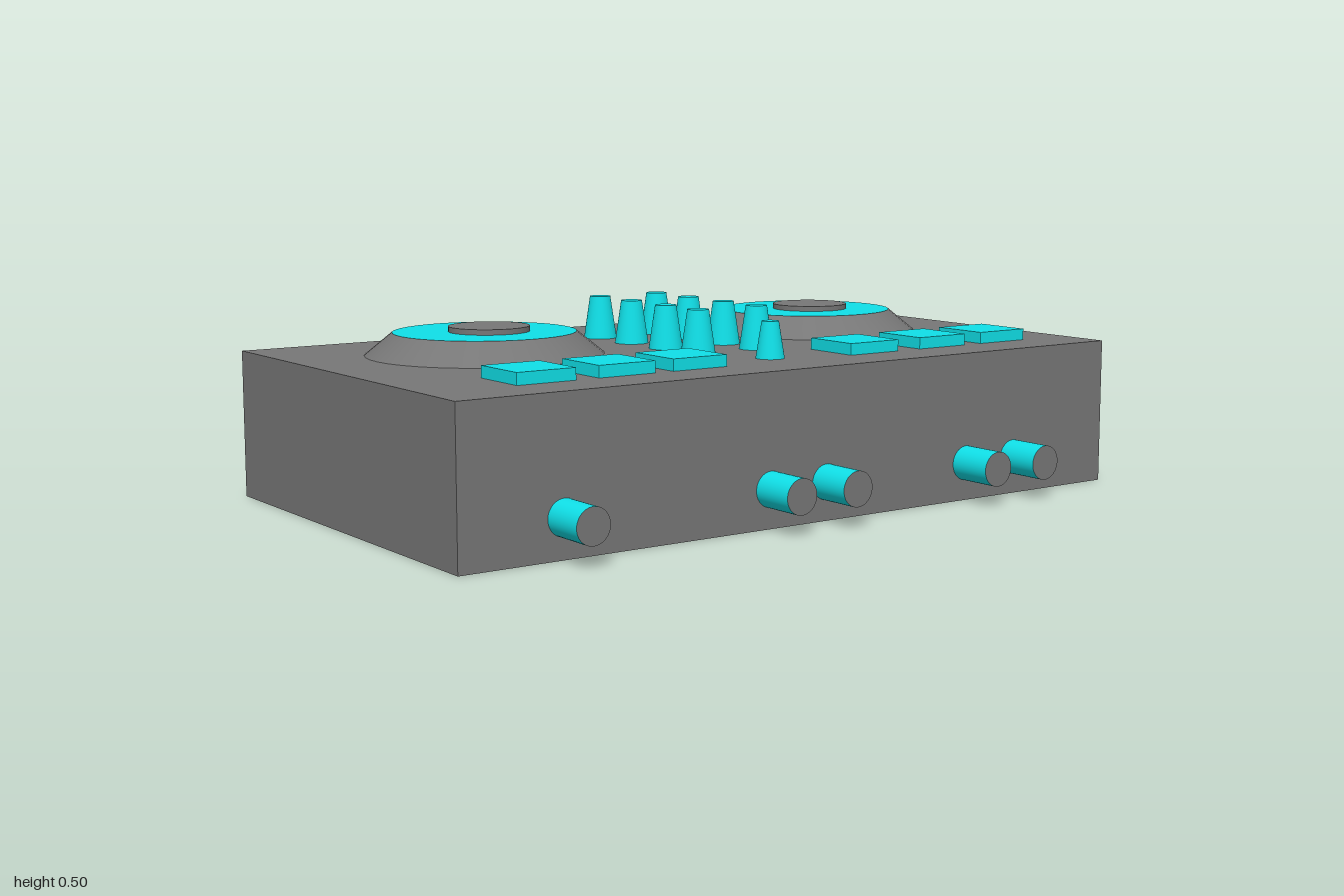
import * as THREE from 'three';

const DECK_Y = 0.385;

export function createModel() {
  const model = new THREE.Group();
  model.name = 'mixingConsole';
  const grey = new THREE.MeshStandardMaterial({ color: 0x777777 });
  const cyan = new THREE.MeshStandardMaterial({ color: 0x10e0e8 });

  const add = (name, geometry, material, x, y, z) => {
    const mesh = new THREE.Mesh(geometry, material);
    mesh.name = name;
    mesh.position.set(x, y, z);
    model.add(mesh);
    return mesh;
  };
  // Round part standing on height y; material may be [side, top, bottom]
  const round = (name, rTop, rBottom, height, material, x, y, z) =>
    add(name, new THREE.CylinderGeometry(rTop, rBottom, height, 40), material, x, y + height / 2, z);

  // Main housing
  add('body', new THREE.BoxGeometry(1.14, DECK_Y, 2), grey, -0.06, DECK_Y / 2, 0);

  // Jog wheels: sloping grey rim with a coloured face and a raised hub
  for (const z of [-0.545, 0.513]) {
    round('jogWheel', 0.237, 0.308, 0.058, [grey, cyan, grey], -0.212, DECK_Y, z);
    round('jogHub', 0.105, 0.105, 0.014, grey, -0.207, DECK_Y + 0.058, z - 0.01);
  }

  // Two rows of tapered mixer knobs
  for (const z of [-0.12, 0.068]) {
    for (const x of [-0.352, -0.197, -0.036, 0.11]) {
      round('mixerKnob', 0.028, 0.045, 0.115, cyan, x, DECK_Y, z);
    }
  }
  round('selectorKnob', 0.022, 0.037, 0.095, cyan, 0.295, DECK_Y, -0.023);

  // Square pads along the right edge
  const padGeometry = new THREE.BoxGeometry(0.163, 0.03, 0.16);
  for (const z of [-0.76, -0.542, -0.307, 0.248, 0.46, 0.683]) {
    add('pad', padGeometry, cyan, 0.288, DECK_Y + 0.015, z);
  }

  // Sockets projecting from the side, with grey ends
  const socketGeometry = new THREE.CylinderGeometry(0.045, 0.045, 0.125, 40);
  for (const z of [-0.67, -0.502, -0.035, 0.138, 0.725]) {
    const socket = add('socket', socketGeometry, [cyan, grey, grey], 0.5675, 0.098, z);
    socket.rotation.z = -Math.PI / 2;
  }

  return model;
}
